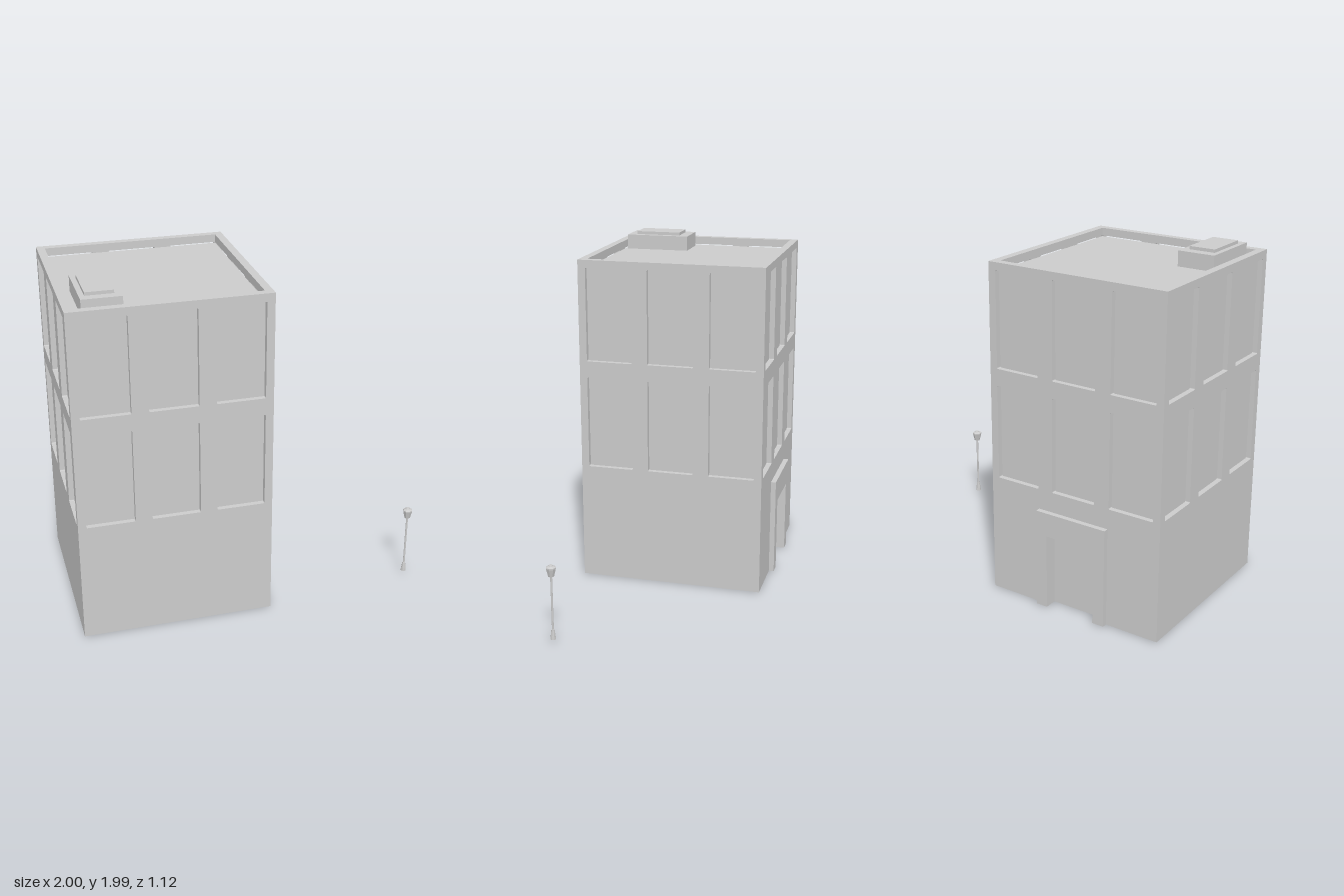
import * as THREE from 'three';

const SIZE = 1.085, HALF = SIZE / 2, HEIGHT = 1.93, WALL = 0.045, RECESS = 0.03;
const ROOF_Y = 1.88, CEILING_Y = 0.69;
const CX = -0.4575, CZ = 0.0125;
const DOOR_W = 0.305, DOOR_H = 0.44, FRAME_W = 0.445, FRAME_H = 0.58;

const grey = new THREE.MeshStandardMaterial({ color: 0xcccccc, flatShading: true });
const thin = new THREE.MeshStandardMaterial({ color: 0xcccccc, side: THREE.DoubleSide });

function add(parent, name, geometry, x = 0, y = 0, z = 0, material = grey) {
  const mesh = new THREE.Mesh(geometry, material);
  mesh.name = name;
  mesh.position.set(x, y, z);
  parent.add(mesh);
  return mesh;
}

// Rectangle with slightly rounded corners, used for window openings
function roundedHole(cx, cy, w, h, r = 0.006) {
  const p = new THREE.Path(), a = w / 2 - r, b = h / 2 - r, q = Math.PI / 2;
  [[a, b], [-a, b], [-a, -b], [a, -b]].forEach(([x, y], i) =>
    p.absarc(cx + x, cy + y, r, i * q, (i + 1) * q, false));
  p.closePath();
  return p;
}

// Rectangle standing on the ground with a doorway cut up from its base
function doorwayShape(w, h) {
  const d = DOOR_W / 2;
  return new THREE.Shape([
    [-w / 2, 0], [-d, 0], [-d, DOOR_H], [d, DOOR_H], [d, 0],
    [w / 2, 0], [w / 2, h], [-w / 2, h],
  ].map(([x, y]) => new THREE.Vector2(x, y)));
}

const extrude = (shape, depth) =>
  new THREE.ExtrudeGeometry(shape, { depth, bevelEnabled: false, curveSegments: 3 });

// One facade facing +z, with two rows of three recessed windows
function createWall(name, hasDoor) {
  const wall = new THREE.Group();
  wall.name = name;
  const shape = hasDoor ? doorwayShape(SIZE, HEIGHT) : new THREE.Shape([
    new THREE.Vector2(-HALF, 0), new THREE.Vector2(HALF, 0),
    new THREE.Vector2(HALF, HEIGHT), new THREE.Vector2(-HALF, HEIGHT),
  ]);
  for (const y of [0.97, 1.6125]) {
    for (const x of [-0.363, 0, 0.363]) {
      shape.holes.push(roundedHole(x, y, 0.27, 0.545));
      add(wall, 'windowPane', new THREE.PlaneGeometry(0.27, 0.545), x, y, HALF - RECESS);
    }
  }
  // Mitre the ends so the four walls meet cleanly at the corners
  const geometry = extrude(shape, WALL);
  const pos = geometry.attributes.position;
  for (let i = 0; i < pos.count; i++) {
    const x = pos.getX(i);
    if (Math.abs(x) > HALF - 0.001 && pos.getZ(i) < 0.001) pos.setX(i, x - Math.sign(x) * WALL);
  }
  geometry.computeVertexNormals();
  add(wall, 'wallPanel', geometry, 0, 0, HALF - WALL);
  // Doorway with raised surround
  if (hasDoor) {
    add(wall, 'doorSurround', extrude(doorwayShape(FRAME_W, FRAME_H), 0.03), 0, 0, HALF);
    add(wall, 'doorPanel', new THREE.PlaneGeometry(DOOR_W, DOOR_H), 0, DOOR_H / 2, HALF - WALL, thin);
  }
  return wall;
}

// Eight-sided lamp post turned from one profile
function createStreetLamp() {
  const lamp = new THREE.Group();
  lamp.name = 'streetLamp';
  const turn = (points) =>
    new THREE.LatheGeometry(points.map(([r, y]) => new THREE.Vector2(r, y)), 8);
  add(lamp, 'lampBase', turn([[0, 0.015], [0.016, 0.015], [0.014, 0.035], [0.009, 0.072], [0, 0.072]]));
  add(lamp, 'lampPost', turn([[0.006, 0.07], [0.006, 0.39]]));
  add(lamp, 'lampHead', turn([[0, 0.385], [0.017, 0.385], [0.028, 0.43], [0.028, 0.437], [0, 0.437]]));
  add(lamp, 'lampCap', turn([[0.028, 0.437], [0.013, 0.444], [0.01, 0.45], [0, 0.451]]));
  lamp.position.set(0.97, 0, 0.43);
  return lamp;
}

export function createModel() {
  const model = new THREE.Group();
  model.name = 'townBuilding';

  const building = new THREE.Group();
  building.name = 'building';
  building.position.set(CX, 0, CZ);
  model.add(building);

  // Four walls around the square plan, door at the back
  ['frontWall', 'leftWall', 'backWall', 'rightWall'].forEach((name, i) => {
    const wall = createWall(name, name === 'backWall');
    wall.rotation.y = i * Math.PI / 2;
    building.add(wall);
  });

  // Roof deck behind the parapet, and the ground-floor ceiling
  const inner = SIZE - 2 * WALL;
  add(building, 'roofDeck', new THREE.PlaneGeometry(inner, inner), 0, ROOF_Y, 0).rotation.x = -Math.PI / 2;
  add(building, 'ceiling', new THREE.PlaneGeometry(inner, inner), 0, CEILING_Y, 0).rotation.x = Math.PI / 2;

  // Rooftop unit with its lid
  add(model, 'roofUnit', new THREE.BoxGeometry(0.215, 1.967 - ROOF_Y, 0.38), -0.8, (1.967 + ROOF_Y) / 2, 0.302);
  add(model, 'roofUnitLid', new THREE.BoxGeometry(0.152, 0.018, 0.27), -0.803, 1.976, 0.305);

  model.add(createStreetLamp());
  return model;
}
